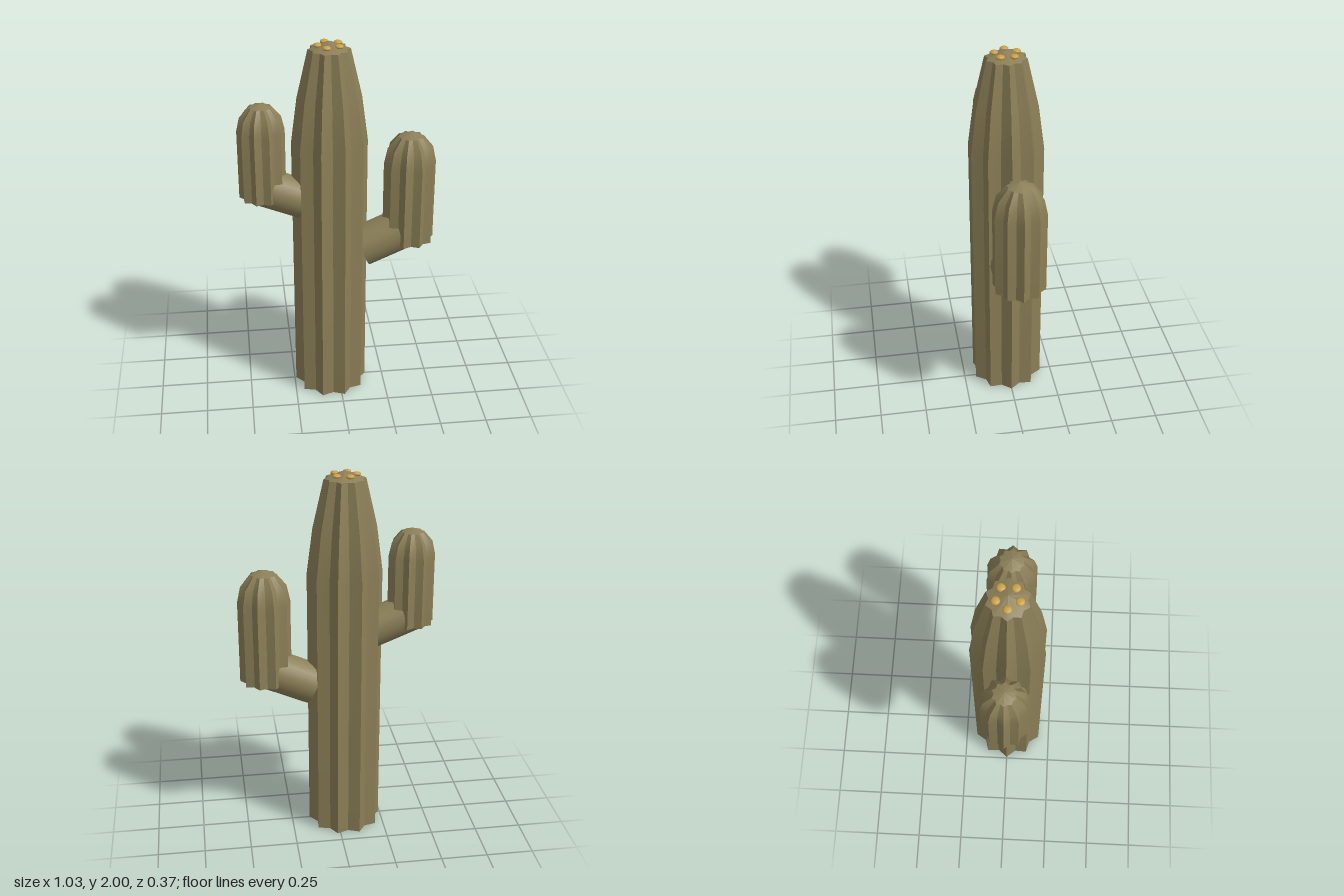
import * as THREE from 'three';
import { toCreasedNormals } from 'three/addons/utils/BufferGeometryUtils.js';

const RIBS = 10;
const VALLEY = 0.83; // valley radius relative to rib radius

// Star-shaped column from [radius, y] rings, bottom to top
function ribbedColumn(profile) {
  const n = RIBS * 2, pos = [], idx = [];
  for (const [r, y] of profile) {
    for (let i = 0; i < n; i++) {
      const a = (i / n) * Math.PI * 2;
      const k = r * (i % 2 ? VALLEY : 1);
      pos.push(Math.cos(a) * k, y, Math.sin(a) * k);
    }
  }
  for (let row = 0; row < profile.length - 1; row++) {
    for (let i = 0; i < n; i++) {
      const j = (i + 1) % n, lo = row * n, up = lo + n;
      if (profile[row][0] > 0) idx.push(lo + i, up + i, lo + j);
      if (profile[row + 1][0] > 0) idx.push(up + i, up + j, lo + j);
    }
  }
  const g = new THREE.BufferGeometry();
  g.setAttribute('position', new THREE.Float32BufferAttribute(pos, 3));
  g.setIndex(idx);
  return toCreasedNormals(g, 0.6);
}

export function createModel() {
  const model = new THREE.Group();
  model.name = 'cactus';
  const green = new THREE.MeshStandardMaterial({ color: 0x8b7f57 });
  green.name = 'olive skin';
  const gold = new THREE.MeshStandardMaterial({ color: 0xc9a04a });
  gold.name = 'golden bud';

  const add = (name, geometry, material, x = 0, y = 0, z = 0) => {
    const mesh = new THREE.Mesh(geometry, material);
    mesh.name = name;
    mesh.position.set(x, y, z);
    model.add(mesh);
    return mesh;
  };

  // Trunk, tapering to a shallow cap
  const cx = -0.045;
  add('trunk', ribbedColumn([
    [0, 0], [0.197, 0], [0.197, 1.47], [0.165, 1.71], [0.107, 1.96], [0, 2],
  ]), green, cx);

  // Arms: a slanted round branch and an upright ribbed column with a dome
  const arms = [
    { side: 'left', r: 0.137, base: 0.885, shoulder: 1.33, top: 1.5, branchR: 0.11, from: [0.125, 0.845], to: [0.375, 0.955] },
    { side: 'right', r: 0.122, base: 1.175, shoulder: 1.545, top: 1.69, branchR: 0.103, from: [-0.182, 1.146], to: [-0.394, 1.231] },
  ];
  for (const { side, r, base, shoulder, top, branchR, from, to } of arms) {
    const profile = [[0, base], [r, base]];
    for (let k = 0; k < 3; k++) {
      const a = (k * Math.PI) / 6;
      profile.push([r * Math.cos(a), shoulder + (top - shoulder) * Math.sin(a)]);
    }
    profile.push([0, top]);
    add(side + 'Arm', ribbedColumn(profile), green, to[0]);

    const dx = to[0] - from[0], dy = to[1] - from[1];
    const branch = add(side + 'Branch',
      new THREE.CylinderGeometry(branchR, branchR, Math.hypot(dx, dy), 24), green,
      (from[0] + to[0]) / 2, (from[1] + to[1]) / 2);
    branch.rotation.z = Math.atan2(-dx, dy);
  }

  // Ring of flattened buds on the cap
  for (let i = 0; i < 5; i++) {
    const a = Math.PI + (i / 5) * Math.PI * 2;
    const bud = add('bud' + (i + 1), new THREE.SphereGeometry(0.022, 12, 8), gold,
      cx + Math.cos(a) * 0.058, 1.98, Math.sin(a) * 0.058);
    bud.scale.y = 0.5;
  }
  return model;
}
